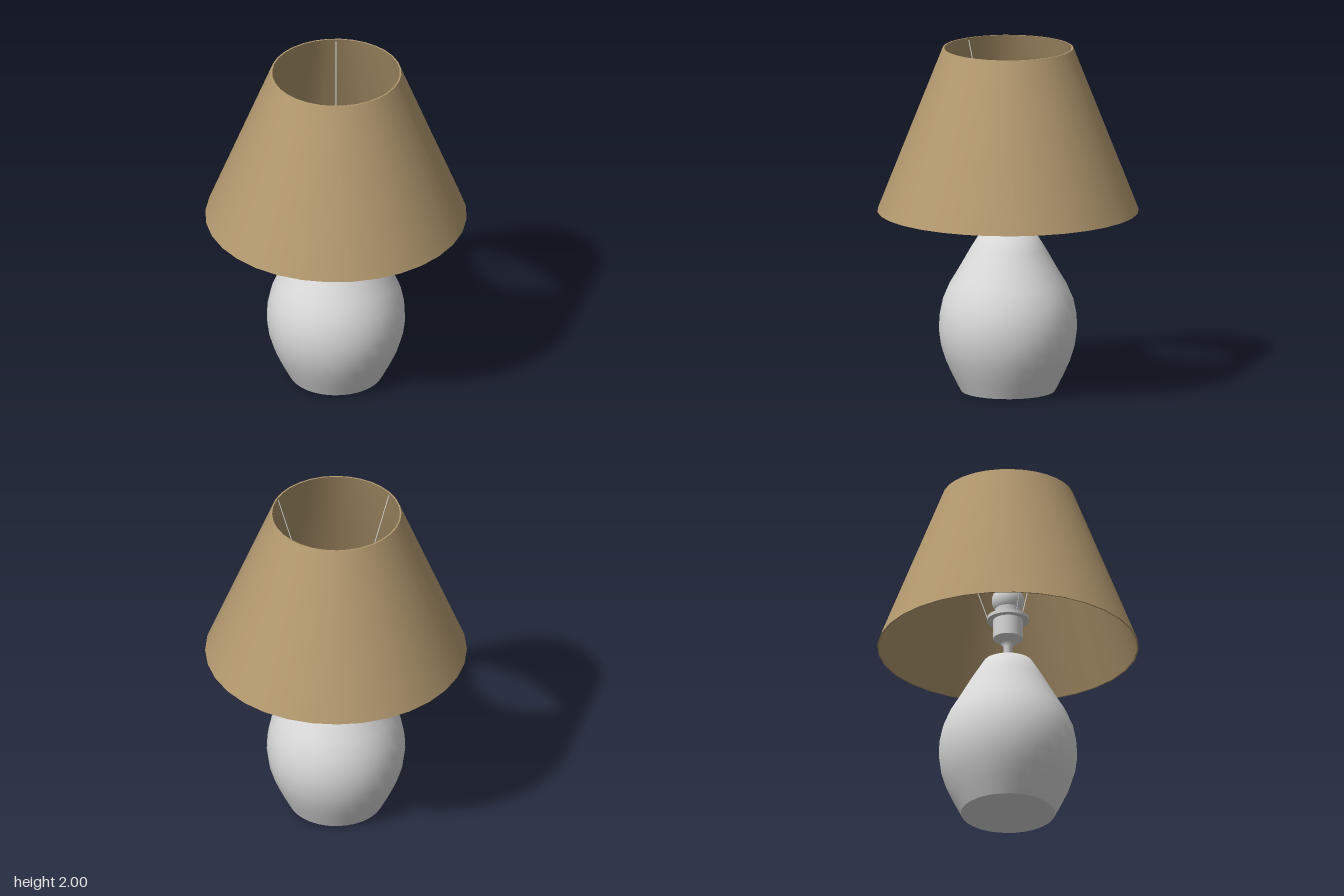
import * as THREE from 'three';
import { mergeGeometries } from 'three/addons/utils/BufferGeometryUtils.js';

const SIDES = 32;
const toPoints = (list) => list.map(([r, y]) => new THREE.Vector2(r, y));

// Each strip of [radius, height] points is smooth; edges between strips stay sharp.
const turned = (...strips) =>
  mergeGeometries(strips.map((s) => new THREE.LatheGeometry(toPoints(s), SIDES)));

// A profile in which every edge is sharp.
const turnedSharp = (list) =>
  turned(...list.slice(1).map((p, i) => [list[i], p]));

export function createModel() {
  const lamp = new THREE.Group();
  lamp.name = 'tableLamp';

  const ceramic = new THREE.MeshStandardMaterial({ color: 0xd9d9d9 });
  ceramic.name = 'lightGrey';
  const fabric = new THREE.MeshStandardMaterial({ color: 0xb3996f });
  fabric.name = 'tanFabric';

  const add = (name, geometry, material, parent = lamp) => {
    const mesh = new THREE.Mesh(geometry, material);
    mesh.name = name;
    parent.add(mesh);
    return mesh;
  };

  // Egg-shaped base with a flat foot and a small flat top
  add('base', turned(
    [[0, 0], [0.27, 0]],
    [[0.27, 0], [0.316, 0.09], [0.357, 0.18], [0.385, 0.27], [0.397, 0.36], [0.393, 0.445],
      [0.375, 0.53], [0.337, 0.62], [0.283, 0.71], [0.215, 0.83], [0.14, 0.95], [0, 0.95]],
  ), ceramic);

  // Stem flaring into the bulb socket
  add('stem', turned([[0.025, 0.94], [0.025, 1.05], [0.045, 1.07], [0.085, 1.1]]), ceramic);
  add('socket', turnedSharp([[0, 1.1], [0.085, 1.1], [0.085, 1.24], [0, 1.24]]), ceramic);
  add('socketRing', turnedSharp([[0.08, 1.215], [0.12, 1.215], [0.12, 1.235], [0.08, 1.235]]), ceramic);

  // Bulb: short neck under a round top
  add('bulbNeck', turned([[0.075, 1.23], [0.075, 1.29], [0.085, 1.31]]), ceramic);
  const bulb = add('bulb', new THREE.SphereGeometry(0.093, 32, 16), ceramic);
  bulb.position.y = 1.34;

  // Three thin wires from the socket ring to the shade's top rim
  const wires = new THREE.Group();
  wires.name = 'shadeWires';
  lamp.add(wires);
  for (let i = 0; i < 3; i++) {
    const angle = Math.PI / 3 + (i * Math.PI * 2) / 3;
    const at = (r, y) => new THREE.Vector3(Math.cos(angle) * r, y, Math.sin(angle) * r);
    const path = new THREE.LineCurve3(at(0.115, 1.225), at(0.368, 1.985));
    add('shadeWire', new THREE.TubeGeometry(path, 1, 0.003, 6), ceramic, wires);
  }

  // Hollow tapered shade
  add('shade', turnedSharp([
    [0.75, 1.05], [0.375, 2], [0.366, 2], [0.741, 1.05], [0.75, 1.05],
  ]), fabric);

  return lamp;
}
